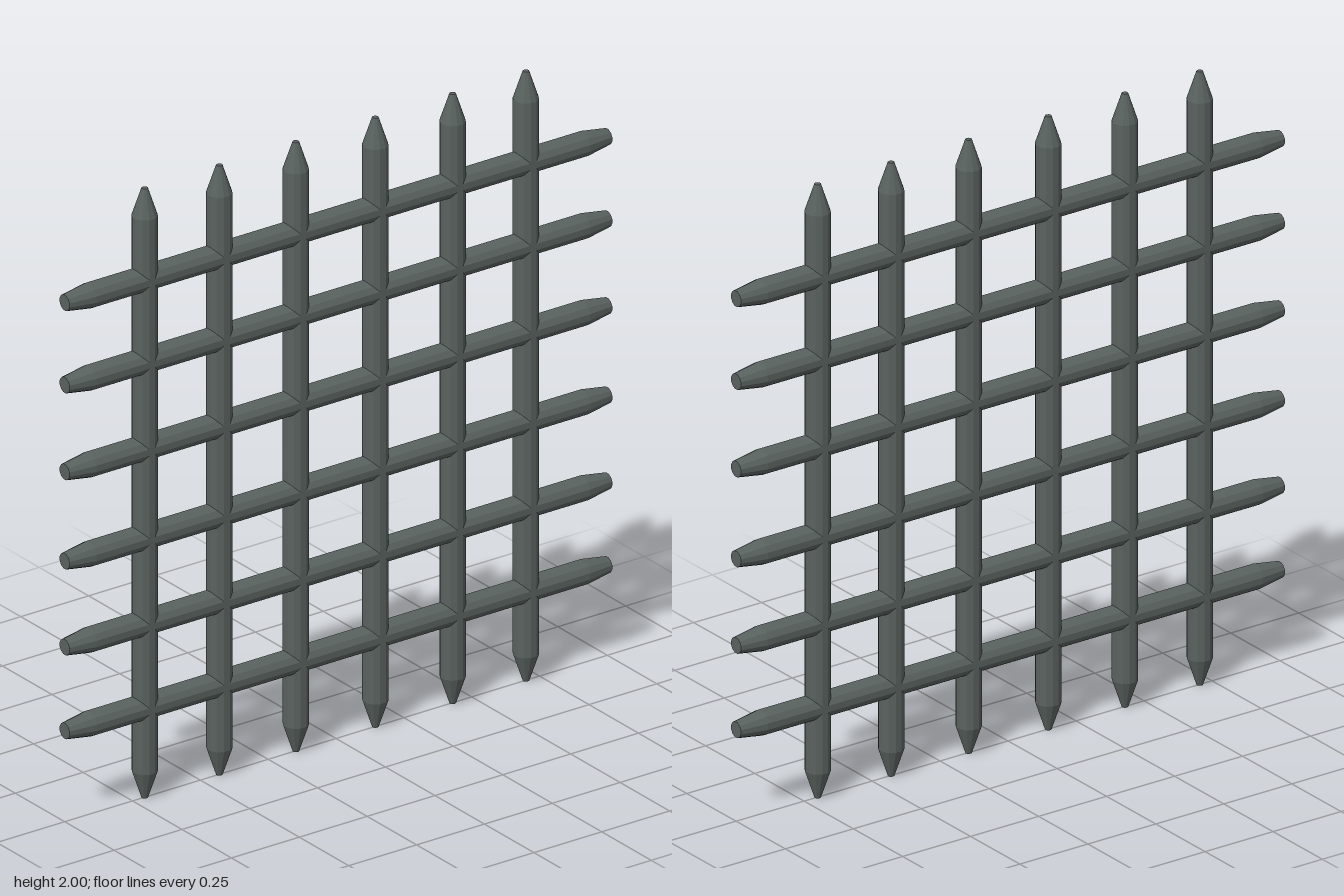
import * as THREE from 'three';

const SIDES = 12;
const RADIUS = 0.04;
const TAPER = 0.09;
const OFFSETS = [-0.705, -0.43, -0.148, 0.145, 0.43, 0.7];

// Round bar of length 2 along y, narrowing to a blunt point at both ends
function barGeometry(tipRadius) {
  const profile = [
    [0, -1], [tipRadius, -1], [RADIUS, -1 + TAPER],
    [RADIUS, 1 - TAPER], [tipRadius, 1], [0, 1],
  ].map(([r, y]) => new THREE.Vector2(r, y));
  return new THREE.LatheGeometry(profile, SIDES, Math.PI / SIDES);
}

export function createModel() {
  const group = new THREE.Group();
  group.name = 'latticeGate';
  const iron = new THREE.MeshStandardMaterial({ color: 0x59625f, flatShading: true });

  const uprightGeometry = barGeometry(0.01);
  const crossbarGeometry = barGeometry(0.026).rotateZ(-Math.PI / 2);

  OFFSETS.forEach((offset, i) => {
    // Pointed uprights, side by side
    const upright = new THREE.Mesh(uprightGeometry, iron);
    upright.name = `upright${i + 1}`;
    upright.position.set(offset, 1, 0);

    // Blunter crossbars, stacked through the uprights
    const crossbar = new THREE.Mesh(crossbarGeometry, iron);
    crossbar.name = `crossbar${i + 1}`;
    crossbar.position.set(0, 1.003 + offset, 0);

    group.add(upright, crossbar);
  });
  return group;
}
